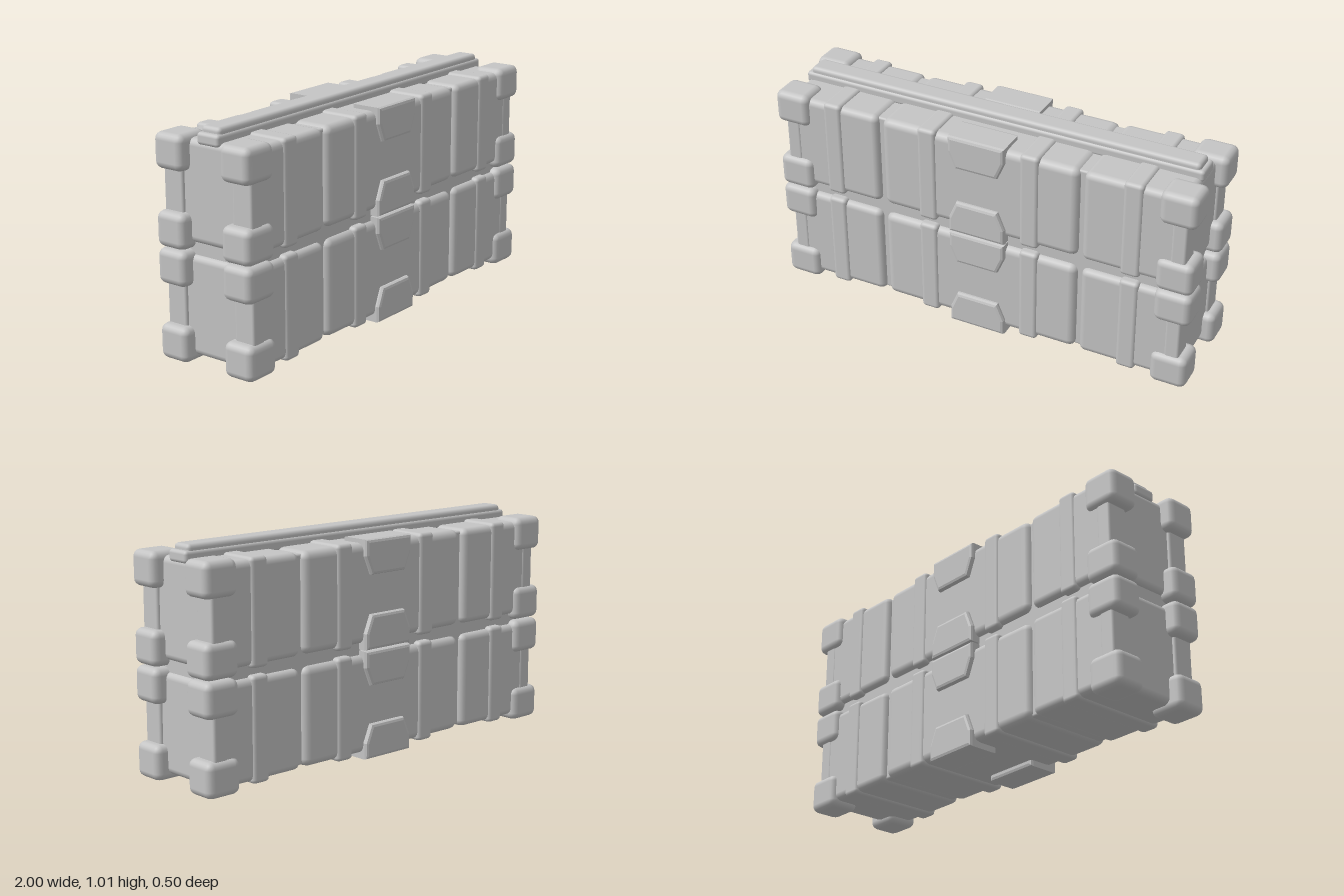
import * as THREE from 'three';
import { RoundedBoxGeometry } from 'three/addons/geometries/RoundedBoxGeometry.js';

export function createModel() {
  const model = new THREE.Group();
  model.name = 'stackedCases';
  const grey = new THREE.MeshStandardMaterial({ color: 0xc4c4c4 });
  grey.name = 'grey';

  function add(parent, name, geometry) {
    const mesh = new THREE.Mesh(geometry, grey);
    mesh.name = name;
    parent.add(mesh);
    return mesh;
  }

  // Rounded block given by its lower and upper limits
  function block(parent, name, [x0, x1], [y0, y1], [z0, z1], radius) {
    const mesh = add(parent, name, new RoundedBoxGeometry(x1 - x0, y1 - y0, z1 - z0, 2, radius));
    mesh.position.set((x0 + x1) / 2, (y0 + y1) / 2, (z0 + z1) / 2);
    return mesh;
  }

  // Latch pad: wide at the case edge, with cut corners towards the middle
  const bevel = 0.014;
  const latchShape = new THREE.Shape([
    [-0.12, 0.014], [0.12, 0.014], [0.12, 0.07], [0.09, 0.141], [-0.09, 0.141], [-0.12, 0.07],
  ].map(([x, y]) => new THREE.Vector2(x, y)));
  const latchGeometry = new THREE.ExtrudeGeometry(latchShape, {
    depth: 0.15 - 2 * bevel, bevelEnabled: true, bevelThickness: bevel, bevelSize: bevel, bevelSegments: 2,
  });
  latchGeometry.translate(0, 0, -0.075 + bevel);

  function buildCase(name, y) {
    const box = new THREE.Group();
    box.name = name;
    box.position.y = y;
    model.add(box);

    // Wall panels, separated by two narrow grooves
    block(box, 'middlePanel', [-0.47, 0.47], [0.03, 0.468], [-0.228, 0.228], 0.035);
    for (const s of [-1, 1]) {
      const span = (a, b) => (s > 0 ? [a, b] : [-b, -a]);
      block(box, 'outerPanel', span(0.49, 0.945), [0.03, 0.468], [-0.228, 0.228], 0.03);

      // Straps wrapped around the case
      for (const x of [0.245, 0.715]) {
        block(box, 'strap', span(x - 0.044, x + 0.044), [0.02, 0.478], [-0.237, 0.237], 0.018);
      }

      for (const t of [-1, 1]) {
        const depth = (a, b) => (t > 0 ? [a, b] : [-b, -a]);
        // Upright edge posts and the corner guards over them
        block(box, 'edgePost', span(0.89, 0.958), [0.06, 0.44], depth(0.13, 0.232), 0.012);
        for (const [low, high] of [[0.003, 0.157], [0.332, 0.486]]) {
          block(box, 'cornerGuard', span(0.832, 1), [low, high], depth(0.098, 0.25), 0.032);
        }
      }
    }

    // Latch pads on the front and back, at the bottom and top edges
    for (const z of [-0.175, 0.175]) {
      add(box, 'lowerLatch', latchGeometry).position.set(0, 0.003, z);
      const upper = add(box, 'upperLatch', latchGeometry);
      upper.position.set(0, 0.486, z);
      upper.rotation.z = Math.PI;
    }
  }

  buildCase('lowerCase', 0);
  buildCase('upperCase', 0.488);

  // Inner core seen in the grooves and the seam
  block(model, 'core', [-0.925, 0.925], [0.04, 0.945], [-0.2, 0.2], 0.01);

  // Carrying rail along the top
  block(model, 'railBase', [-0.95, 0.95], [0.938, 0.99], [-0.058, 0.058], 0.015);
  block(model, 'rail', [-0.93, 0.93], [0.945, 1.015], [-0.05, 0.05], 0.018);

  return model;
}
